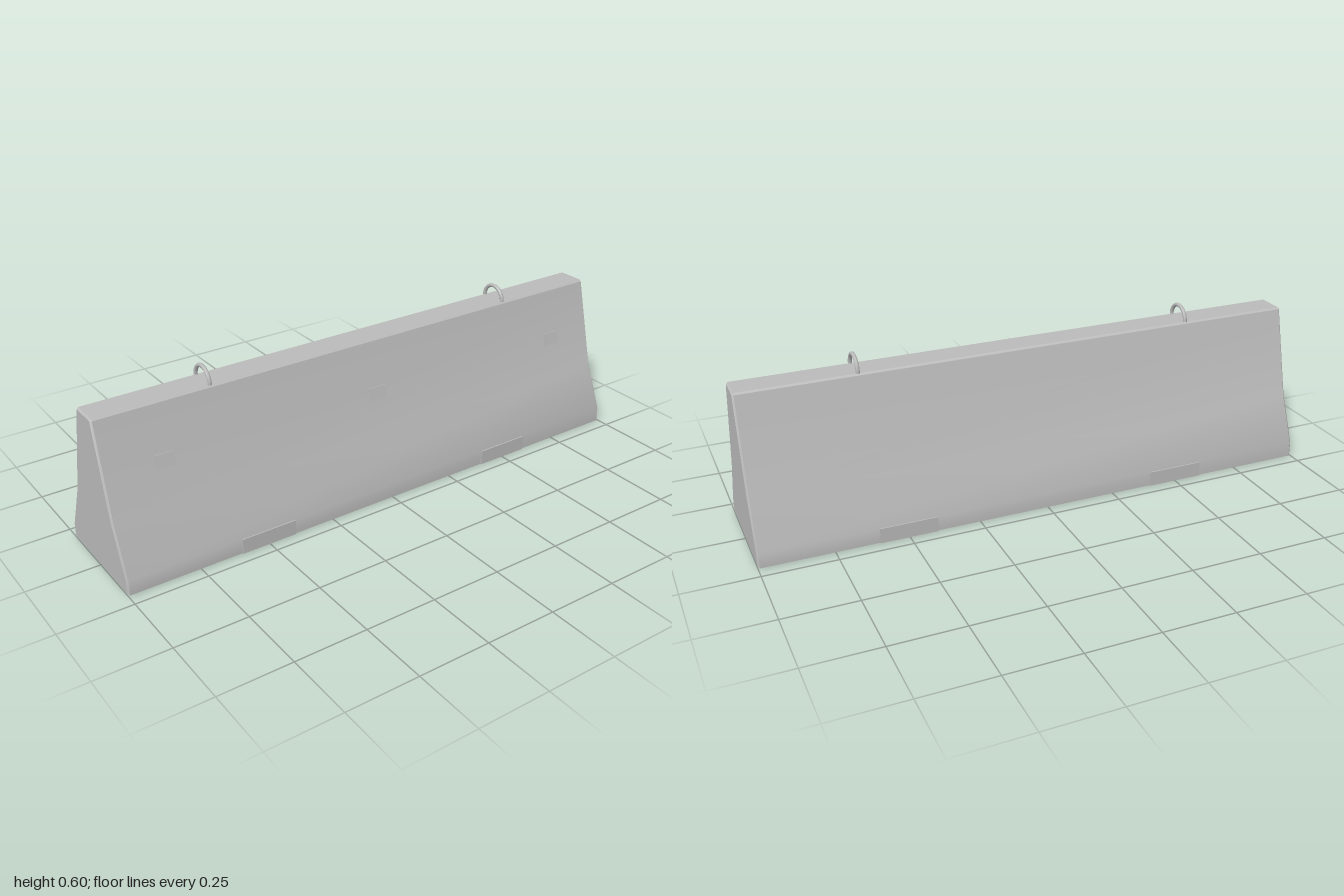
import * as THREE from 'three';
import { toCreasedNormals } from 'three/addons/utils/BufferGeometryUtils.js';

export function createModel() {
  const model = new THREE.Group();
  model.name = 'concreteBarrier';
  const concrete = new THREE.MeshStandardMaterial({ color: 0xbbbbbb });
  concrete.name = 'concreteGrey';

  const add = (name, geometry, parent = model) => {
    const mesh = new THREE.Mesh(geometry, concrete);
    mesh.name = name;
    parent.add(mesh);
    return mesh;
  };

  // Barrier body: flared section extruded along x, with chamfered ends
  const half = [[0.202, 0], [0.202, 0.053], [0.132, 0.22], [0.053, 0.534], [0.047, 0.54]];
  const mirrored = half.map(([z, y]) => [-z, y]).reverse();
  const section = new THREE.Shape([...half, ...mirrored].map(([z, y]) => new THREE.Vector2(z, y)));
  const bevel = 0.006;
  const body = new THREE.ExtrudeGeometry(section, {
    depth: 2 - 2 * bevel, bevelThickness: bevel, bevelSize: bevel, bevelOffset: -bevel, bevelSegments: 1,
  });
  body.translate(0, 0, -1 + bevel).rotateY(Math.PI / 2);
  add('barrierBody', toCreasedNormals(body, 0.5));

  // Foot pads on both long sides
  for (const x of [-0.5, 0.5]) {
    for (const z of [-1, 1]) {
      add('footPad', new THREE.BoxGeometry(0.2, 0.053, 0.012)).position.set(x, 0.0265, z * 0.2005);
    }
  }

  // Lifting loops: half rings standing across the top, with closed ends
  const ringRadius = 0.047, tubeRadius = 0.007;
  for (const x of [-0.6, 0.6]) {
    const loop = new THREE.Group();
    loop.name = 'liftingLoop';
    add('loopRing', new THREE.TorusGeometry(ringRadius, tubeRadius, 8, 12, Math.PI), loop);
    for (const side of [-1, 1]) {
      const end = add('loopEnd', new THREE.CircleGeometry(tubeRadius, 8), loop);
      end.rotation.x = Math.PI / 2;
      end.position.x = side * ringRadius;
    }
    loop.rotation.y = Math.PI / 2;
    loop.position.set(x, 0.541, 0);
    model.add(loop);
  }

  // Reflector plates on the front, parallel to the upper slope
  for (const x of [-0.8, 0, 0.8]) {
    const plate = add('reflectorPlate', new THREE.BoxGeometry(0.065, 0.046, 0.005));
    plate.position.set(x, 0.367, 0.111);
    plate.rotation.x = -0.246;
  }
  return model;
}
